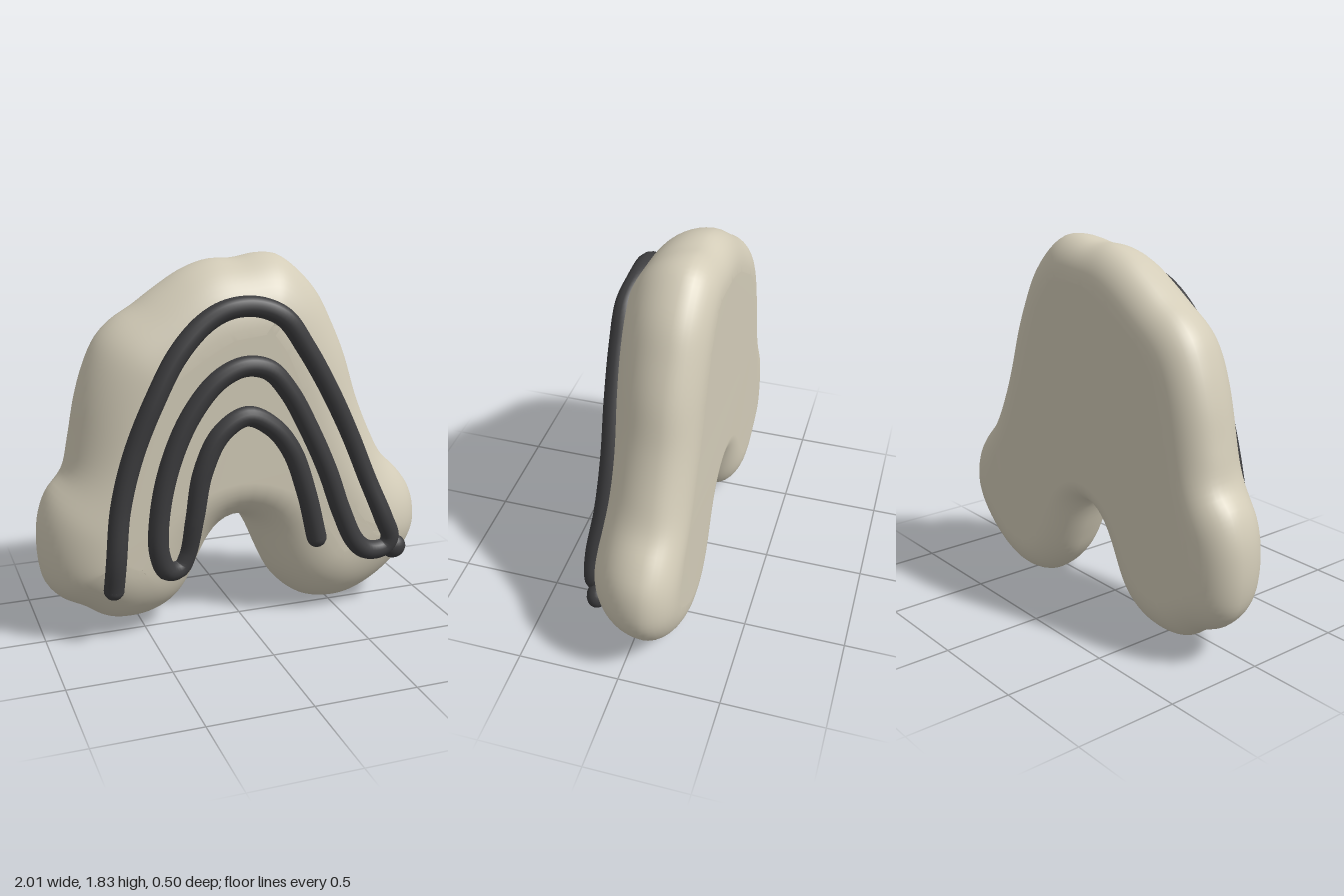
import * as THREE from 'three';

const dough = new THREE.MeshStandardMaterial({ color: 0xd3ccb8 });
dough.name = 'pale dough';
const icing = new THREE.MeshStandardMaterial({ color: 0x3c3c3e });
icing.name = 'dark icing';

// Lumpy arch outline, anticlockwise seen from the front
const OUTLINE = [
  [0.12, 1.84], [0, 1.82], [-0.12, 1.82], [-0.25, 1.78], [-0.4, 1.69], [-0.5, 1.62], [-0.6, 1.56],
  [-0.68, 1.48], [-0.74, 1.36], [-0.79, 1.2], [-0.83, 1], [-0.87, 0.84], [-0.94, 0.76], [-0.98, 0.67],
  [-1, 0.57], [-1, 0.4], [-0.97, 0.28], [-0.9, 0.2], [-0.8, 0.15], [-0.7, 0.08], [-0.6, 0.06],
  [-0.48, 0.07], [-0.36, 0.12], [-0.28, 0.2], [-0.23, 0.29], [-0.19, 0.38], [-0.13, 0.48], [-0.06, 0.54],
  [0.01, 0.54], [0.06, 0.47], [0.13, 0.31], [0.19, 0.19], [0.28, 0.09], [0.38, 0.03], [0.53, 0.01],
  [0.66, 0.04], [0.8, 0.12], [0.92, 0.23], [0.99, 0.35], [1, 0.45], [0.97, 0.58], [0.9, 0.68],
  [0.8, 0.78], [0.72, 0.93], [0.64, 1.12], [0.57, 1.34], [0.5, 1.5], [0.42, 1.65], [0.32, 1.76], [0.22, 1.83],
];
const N = 200;
const edge = new THREE.CatmullRomCurve3(OUTLINE.map(([x, y]) => new THREE.Vector3(x, y, 0)), true)
  .getSpacedPoints(N).slice(0, N).map((p) => new THREE.Vector2(p.x, p.y));

const MID = -0.1, BACK = -0.25, FRONT = 0.195;
const FRONT_INSET = 0.33, BACK_INSET = 0.18;

// Height of the front face at a given distance from the edge
function frontZ(d) {
  const t = 1 - Math.min(d / FRONT_INSET, 1);
  return MID + (FRONT - MID) * Math.sqrt(1 - t * t);
}

// Move a closed ring inwards in small, gently smoothed steps
function inset(ring, distance) {
  const steps = Math.max(1, Math.ceil(distance / 0.008));
  for (let s = 0; s < steps; s++) {
    const moved = ring.map((p, i) => {
      const a = ring[(i + N - 2) % N], b = ring[(i + 2) % N];
      const t = b.clone().sub(a).normalize();
      return new THREE.Vector2(p.x - t.y * distance / steps, p.y + t.x * distance / steps);
    });
    ring = moved.map((p, i) => {
      const m = moved[(i + N - 1) % N].clone().add(moved[(i + 1) % N]).multiplyScalar(0.5);
      return p.clone().lerp(m, 0.3);
    });
  }
  return ring;
}

// Rings from the widest line towards one face, along a quarter ellipse
function quarter(depth, faceZ, count) {
  const rings = [];
  let ring = edge, last = 0;
  for (let k = 1; k <= count; k++) {
    const a = (k / count) * Math.PI / 2;
    const d = depth * (1 - Math.cos(a));
    ring = inset(ring, d - last);
    last = d;
    rings.push({ ring, z: MID + (faceZ - MID) * Math.sin(a) });
  }
  return rings;
}

function bodyGeometry() {
  const rings = [
    ...quarter(BACK_INSET, BACK, 9).reverse(),
    { ring: edge, z: MID },
    ...quarter(FRONT_INSET, FRONT, 14),
  ];
  const positions = [], index = [];
  rings.forEach(({ ring, z }) => ring.forEach((p) => positions.push(p.x, p.y, z)));
  for (let k = 0; k < rings.length - 1; k++) {
    for (let i = 0; i < N; i++) {
      const j = (i + 1) % N, a = k * N, b = a + N;
      index.push(a + i, a + j, b + i, a + j, b + j, b + i);
    }
  }
  // Flat back and front faces
  const top = (rings.length - 1) * N;
  THREE.ShapeUtils.triangulateShape(rings[0].ring, []).forEach(([a, b, c]) => index.push(a, c, b));
  THREE.ShapeUtils.triangulateShape(rings[rings.length - 1].ring, [])
    .forEach(([a, b, c]) => index.push(top + a, top + b, top + c));
  const g = new THREE.BufferGeometry();
  g.setAttribute('position', new THREE.Float32BufferAttribute(positions, 3));
  g.setIndex(index);
  g.computeVertexNormals();
  return g;
}

// Point resting on the front face
function onFront([x, y]) {
  const p = new THREE.Vector2(x, y);
  const d = Math.min(...edge.map((e) => e.distanceTo(p)));
  return new THREE.Vector3(x, y, frontZ(d) + 0.003);
}

// One piped line winding through three arches
const PIPING = [
  [-0.69, 0.31], [-0.68, 0.46], [-0.65, 0.72], [-0.58, 0.98], [-0.48, 1.22], [-0.36, 1.43], [-0.22, 1.57],
  [-0.1, 1.625], [0.04, 1.625], [0.16, 1.57], [0.27, 1.42], [0.4, 1.2], [0.52, 0.96], [0.62, 0.72],
  [0.71, 0.51], [0.75, 0.4], [0.72, 0.35], [0.62, 0.35], [0.55, 0.41], [0.47, 0.58], [0.39, 0.8], [0.29, 1.02],
  [0.18, 1.22], [0.08, 1.33], [-0.04, 1.355], [-0.17, 1.3], [-0.3, 1.15], [-0.4, 0.94], [-0.46, 0.7],
  [-0.47, 0.48], [-0.43, 0.38], [-0.36, 0.37], [-0.32, 0.44], [-0.29, 0.63], [-0.25, 0.86], [-0.16, 1.04],
  [-0.03, 1.115], [0.1, 1.05], [0.2, 0.92], [0.28, 0.7], [0.345, 0.45],
];

function addMesh(group, name, geometry, material) {
  const mesh = new THREE.Mesh(geometry, material);
  mesh.name = name;
  group.add(mesh);
  return mesh;
}

export function createModel() {
  const model = new THREE.Group();
  model.name = 'icedArchBiscuit';
  addMesh(model, 'biscuitBody', bodyGeometry(), dough);

  const path = new THREE.CatmullRomCurve3(PIPING.map(onFront));
  addMesh(model, 'icingLine', new THREE.TubeGeometry(path, 360, 0.05, 14), icing);

  // Rounded ends of the line
  [PIPING[0], PIPING[PIPING.length - 1]].forEach((p) => {
    addMesh(model, 'icingEnd', new THREE.SphereGeometry(0.05, 16, 12), icing).position.copy(onFront(p));
  });

  // Blob where the line folds back at the right foot
  const blob = addMesh(model, 'icingBlob', new THREE.SphereGeometry(0.062, 18, 14), icing);
  blob.position.copy(onFront([0.79, 0.33]));
  blob.scale.set(1.08, 1, 0.85);
  return model;
}
